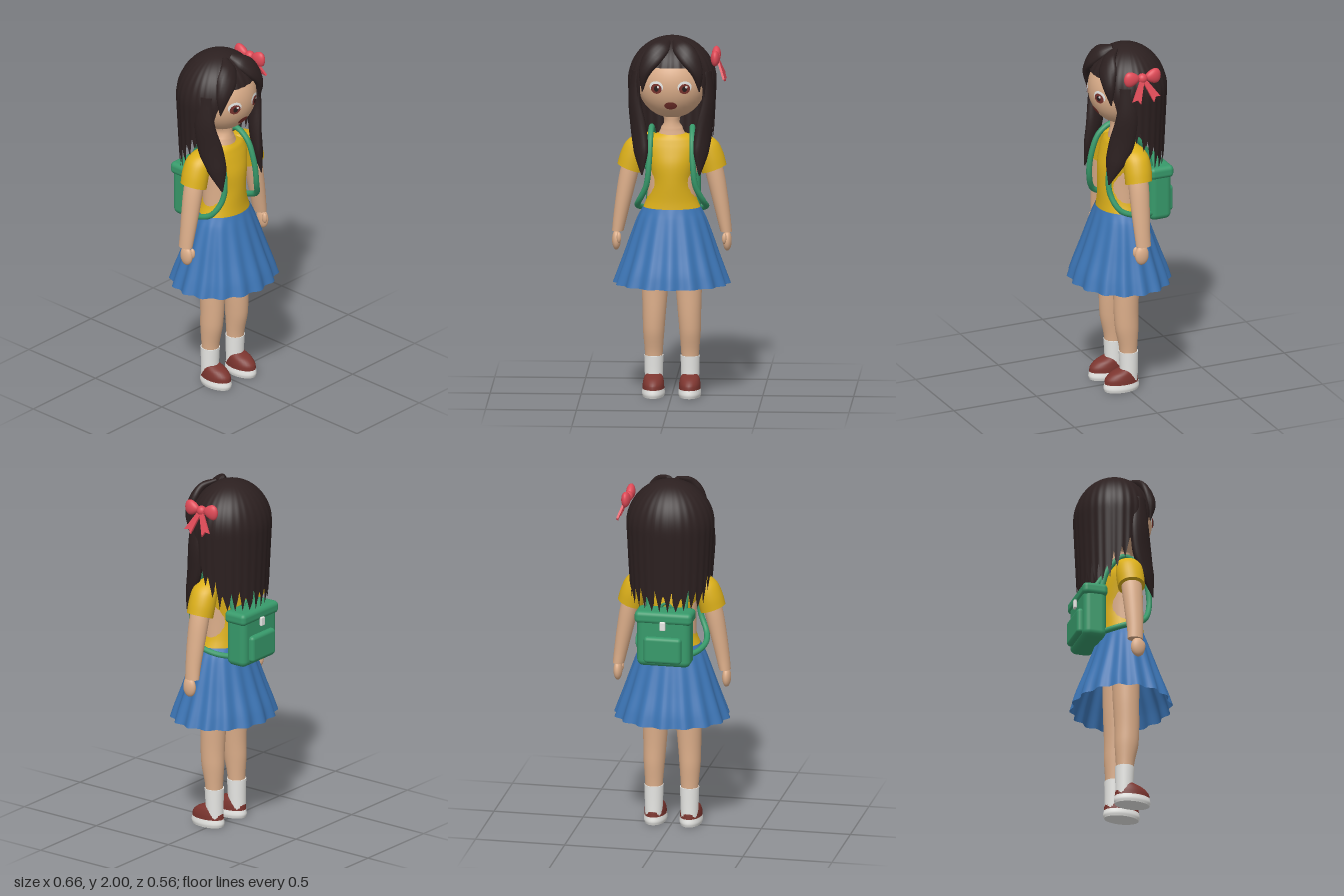
import * as THREE from 'three';
import { RoundedBoxGeometry } from 'three/addons/geometries/RoundedBoxGeometry.js';

const mat = (name, color, side = THREE.FrontSide) => {
  const m = new THREE.MeshStandardMaterial({ color, side });
  m.name = name;
  return m;
};
const V = (x, y, z) => new THREE.Vector3(x, y, z);

// Surface through rings of points (bottom to top), optionally capped
function skinRings(rings, capped = true) {
  const n = rings[0].length;
  const pos = [], idx = [];
  const strip = (list) => {
    const base = pos.length / 3;
    list.forEach((r) => r.forEach((p) => pos.push(p.x, p.y, p.z)));
    for (let i = 0; i < list.length - 1; i++) for (let j = 0; j < n; j++) {
      const a = base + i * n + j, b = base + i * n + (j + 1) % n;
      idx.push(a, a + n, b, b, a + n, b + n);
    }
  };
  strip(rings);
  if (capped) {
    const centre = (r) => {
      const c = r.reduce((s, p) => s.add(p), V(0, 0, 0)).divideScalar(n);
      return r.map(() => c);
    };
    const last = rings[rings.length - 1];
    strip([centre(rings[0]), rings[0]]);
    strip([last, centre(last)]);
  }
  const g = new THREE.BufferGeometry();
  g.setAttribute('position', new THREE.Float32BufferAttribute(pos, 3));
  g.setIndex(idx);
  g.computeVertexNormals();
  return g;
}

// Smooth stack of ellipses: each row is [x, y, z, rx, rz, tilt]
function loft(rows, side = 1, capped = true, wave = () => 0, seg = 32) {
  const curve = new THREE.CatmullRomCurve3(rows.map((r) => V(r[0] * side, r[1], r[2])));
  const size = new THREE.CatmullRomCurve3(rows.map((r) => V(r[3], r[4], (r[5] || 0) * side)));
  const steps = (rows.length - 1) * 4;
  const rings = [];
  for (let i = 0; i <= steps; i++) {
    const c = curve.getPoint(i / steps), s = size.getPoint(i / steps);
    rings.push(Array.from({ length: seg }, (_, j) => {
      const a = j / seg * Math.PI * 2, w = wave(a, i / steps);
      return V(c.x + (s.x + w) * Math.cos(a), c.y + s.z * Math.cos(a), c.z + (s.y + w) * Math.sin(a));
    }));
  }
  return skinRings(rings, capped);
}

// Tapered hair lock lying on the head: each row is [x, y, z, half width, half thickness]
function lock(rows, side) {
  const curve = new THREE.CatmullRomCurve3(rows.map((r) => V(r[0] * side, r[1], r[2])));
  const size = new THREE.CatmullRomCurve3(rows.map((r) => V(r[3], r[4], 0)));
  const rings = [];
  for (let i = 0; i <= 24; i++) {
    const p = curve.getPoint(i / 24), s = size.getPoint(i / 24), t = curve.getTangent(i / 24);
    const e1 = t.clone().cross(V(p.x, 0, p.z + 0.045)).normalize();
    const e2 = e1.clone().cross(t).normalize();
    rings.push(Array.from({ length: 14 }, (_, j) => {
      const a = j / 14 * Math.PI * 2;
      return p.clone().addScaledVector(e1, s.x * Math.cos(a)).addScaledVector(e2, s.y * Math.sin(a));
    }));
  }
  return skinRings(rings);
}

// Hair shell: hem height by angle from the front, with pointed strands
function hairShell() {
  const table = [[0, 1.85], [30, 1.85], [46, 1.73], [58, 1.55], [75, 1.5], [95, 1.42], [115, 1.31], [180, 1.29]];
  const hem = (d) => {
    const k = Math.max(1, table.findIndex((t) => t[0] >= d));
    const [d0, y0] = table[k - 1], [d1, y1] = table[k];
    const tooth = Math.abs((d / 12) % 1 * 2 - 1);
    const strand = d > 62 ? tooth * (0.1 + 0.03 * Math.sin(Math.floor(d / 12) * 2.3)) : 0;
    return y0 + (y1 - y0) * (d - d0) / (d1 - d0) + strand;
  };
  const rings = [], cols = 180, rows = 36;
  for (let i = 0; i <= rows; i++) {
    const s = 1 - i / rows;
    rings.push(Array.from({ length: cols }, (_, j) => {
      const a = j / cols * Math.PI * 2, d = 180 - Math.abs(180 - j * 360 / cols);
      const y = 2 - (2 - hem(d)) * s * s;
      const h = (y - 1.75) / 0.25;
      let r = h > 0 ? Math.sqrt(Math.max(0, 1 - h * h)) : 1 + 0.055 * h;
      r *= 1 + 0.01 * s * Math.cos(d * Math.PI / 6);
      // Ring runs from the front (+z) toward -x
      return V(-0.243 * r * Math.sin(a), y, -0.045 + 0.218 * r * Math.cos(a));
    }));
  }
  return skinRings(rings, false);
}

// Thin disc wrapped on the face
function faceDisc(x, y, rx, ry, lift) {
  const g = new THREE.RingGeometry(0, 1, 28, 4);
  const p = g.attributes.position;
  for (let i = 0; i < p.count; i++) {
    const px = x + p.getX(i) * rx, py = y + p.getY(i) * ry;
    const q = 1 - (px / 0.19) ** 2 - ((py - 1.75) / 0.2) ** 2;
    p.setXYZ(i, px, py, -0.005 + 0.175 * Math.sqrt(Math.max(0, q)) + lift);
  }
  g.computeVertexNormals();
  return g;
}

export function createModel() {
  const model = new THREE.Group();
  model.name = 'girlWithBackpack';
  const D = THREE.DoubleSide;
  const skin = mat('skin', 0xdcae8a), hair = mat('dark hair', 0x2c2020, D), yellow = mat('yellow shirt', 0xdcb01a, D);
  const blue = mat('blue skirt', 0x3b74b4, D), green = mat('green backpack', 0x37996a), red = mat('red bow', 0xdf4a57);
  const maroon = mat('maroon', 0x7c352f), white = mat('white', 0xe9e9e6);

  const add = (name, geo, material, parent = model) => {
    const m = new THREE.Mesh(geo, material);
    m.name = name;
    parent.add(m);
    return m;
  };
  const ball = (name, material, x, y, z, rx, ry, rz, parent) => {
    const m = add(name, new THREE.SphereGeometry(1, 36, 24), material, parent);
    m.position.set(x, y, z);
    m.scale.set(rx, ry, rz);
    return m;
  };

  // Torso and clothes
  add('body', loft([[0, 1.0, 0, 0.14, 0.1], [0, 1.1, 0, 0.136, 0.103], [0, 1.2, 0, 0.135, 0.105], [0, 1.3, 0, 0.138, 0.1],
    [0, 1.4, 0, 0.11, 0.07], [0, 1.46, 0, 0.075, 0.06], [0, 1.5, 0, 0.058, 0.055], [0, 1.6, 0, 0.058, 0.055]]), skin);
  add('shirt', loft([[0, 1.03, 0, 0.168, 0.124], [0, 1.1, 0, 0.138, 0.12], [0, 1.2, 0, 0.118, 0.122], [0, 1.3, 0, 0.137, 0.118],
    [0, 1.39, -0.005, 0.155, 0.098], [0, 1.44, -0.005, 0.13, 0.08], [0, 1.465, -0.005, 0.075, 0.062]], 1, false), yellow);
  add('skirt', loft([[0, 0.63, 0, 0.314, 0.27], [0, 0.7, 0, 0.29, 0.25], [0, 0.8, 0, 0.255, 0.213], [0, 0.9, 0, 0.222, 0.178],
    [0, 1.0, 0, 0.186, 0.144], [0, 1.055, 0, 0.158, 0.125]], 1, false, (a, t) => 0.011 * (1 - t) * Math.cos(16 * a), 160), blue);

  // Head and face
  ball('head', skin, 0, 1.75, -0.005, 0.19, 0.2, 0.175);
  add('mouth', faceDisc(0, 1.64, 0.035, 0.022, 0.004), maroon);
  for (const s of [1, -1]) {
    add('eyeWhite', faceDisc(s * 0.078, 1.747, 0.038, 0.032, 0.003), white);
    add('iris', faceDisc(s * 0.078, 1.737, 0.03, 0.028, 0.005), maroon);
    add('pupil', faceDisc(s * 0.078, 1.737, 0.013, 0.016, 0.007), hair);
    add('eyeGlint', faceDisc(s * 0.078 + 0.01, 1.748, 0.007, 0.007, 0.009), white);
  }

  // Hair
  add('hairShell', hairShell(), hair);
  for (const s of [1, -1]) {
    add('bangs', lock([[0.02, 1.985, 0.03, 0.02, 0.012], [0.055, 1.955, 0.085, 0.05, 0.024], [0.1, 1.905, 0.115, 0.058, 0.028],
      [0.145, 1.82, 0.127, 0.036, 0.024], [0.157, 1.715, 0.12, 0.003, 0.003]], s), hair);
    add('sideLock', lock([[0.195, 1.82, 0.045, 0.04, 0.02], [0.203, 1.65, 0.045, 0.06, 0.028], [0.18, 1.5, 0.065, 0.07, 0.033],
      [0.165, 1.38, 0.1, 0.055, 0.028], [0.158, 1.25, 0.135, 0.004, 0.003]], s), hair);
  }

  // Arms and legs
  for (const s of [1, -1]) {
    add('sleeve', loft([[0.232, 1.265, -0.012, 0.068, 0.075, 0.025], [0.215, 1.33, -0.014, 0.069, 0.077, 0.018],
      [0.188, 1.4, -0.014, 0.068, 0.072, 0.008], [0.155, 1.44, -0.012, 0.065, 0.055, 0], [0.125, 1.462, -0.01, 0.03, 0.025, 0]], s), yellow);
    add('arm', loft([[0.298, 0.915, -0.01, 0.032, 0.043], [0.287, 0.98, -0.008, 0.037, 0.045], [0.265, 1.1, -0.008, 0.045, 0.052],
      [0.234, 1.25, -0.01, 0.052, 0.057], [0.205, 1.36, -0.01, 0.05, 0.055]], s), skin);
    ball('hand', skin, s * 0.305, 0.865, 0.003, 0.024, 0.056, 0.04);
    ball('thumb', skin, s * 0.29, 0.882, 0.034, 0.013, 0.03, 0.016);

    add('leg', loft([[0.1, 0.17, -0.01, 0.046, 0.046], [0.1, 0.25, -0.008, 0.05, 0.051], [0.1, 0.36, 0, 0.059, 0.066],
      [0.097, 0.46, 0.003, 0.064, 0.069], [0.092, 0.63, 0, 0.073, 0.073], [0.08, 0.9, 0, 0.078, 0.08]], s), skin);
    add('sock', loft([[0.1, 0.05, -0.012, 0.048, 0.05], [0.1, 0.12, -0.012, 0.05, 0.05], [0.1, 0.222, -0.01, 0.053, 0.054]], s), white);
    add('sole', loft([[0.1, 0, 0.033, 0.058, 0.098], [0.1, 0.02, 0.033, 0.063, 0.104], [0.1, 0.045, 0.033, 0.06, 0.1]], s), white);
    add('shoe', loft([[0.1, 0.04, 0.033, 0.06, 0.1], [0.1, 0.07, 0.032, 0.059, 0.096], [0.1, 0.1, 0.022, 0.053, 0.075],
      [0.1, 0.122, 0.002, 0.04, 0.045]], s), maroon);
  }

  // Backpack
  const pack = new THREE.Group();
  pack.name = 'backpack';
  model.add(pack);
  const box = (name, w, h, d, r, y, z, m) => add(name, new RoundedBoxGeometry(w, h, d, 4, r), m, pack).position.set(0, y, z);
  box('packBody', 0.3, 0.29, 0.13, 0.035, 1.125, -0.19, green);
  box('packFlap', 0.322, 0.07, 0.142, 0.025, 1.262, -0.192, green);
  box('packPocket', 0.21, 0.15, 0.05, 0.02, 1.082, -0.258, green);
  box('packClasp', 0.032, 0.05, 0.016, 0.005, 1.222, -0.266, white);
  const handle = add('packHandle', new THREE.TorusGeometry(0.03, 0.008, 8, 20, Math.PI), green, pack);
  handle.position.set(0, 1.29, -0.16);
  for (const s of [1, -1]) {
    const path = [[0.1, 1.27, -0.15], [0.105, 1.41, -0.105], [0.112, 1.495, -0.02], [0.115, 1.45, 0.065], [0.12, 1.32, 0.115],
      [0.135, 1.19, 0.118], [0.178, 1.095, 0.075], [0.19, 1.06, 0], [0.165, 1.035, -0.08], [0.11, 1.02, -0.15]];
    const curve = new THREE.CatmullRomCurve3(path.map((p) => V(p[0] * s, p[1], p[2])));
    add('shoulderStrap', new THREE.TubeGeometry(curve, 60, 0.016, 10), green, pack);
  }

  // Bow on the left side of the hair
  const bow = new THREE.Group();
  bow.name = 'hairBow';
  bow.position.set(0.24, 1.885, -0.03);
  bow.rotation.y = Math.PI / 2;
  model.add(bow);
  ball('bowKnot', red, 0, 0, 0, 0.028, 0.028, 0.026, bow);
  const tail = new THREE.Shape([[-0.01, 0], [0.01, 0], [0.03, -0.14], [0.006, -0.125], [-0.02, -0.145]].map((p) => new THREE.Vector2(...p)));
  for (const s of [1, -1]) {
    // Loops widen away from the knot
    const g = new THREE.SphereGeometry(1, 28, 20);
    const p = g.attributes.position;
    for (let i = 0; i < p.count; i++) {
      const x = p.getX(i);
      p.setXYZ(i, s * (0.064 + 0.046 * x), p.getY(i) * (0.041 + 0.014 * x) + 0.004, p.getZ(i) * 0.025);
    }
    if (s < 0) g.index.array.reverse();
    g.computeVertexNormals();
    add('bowLoop', g, red, bow);
    const t = add('bowTail', new THREE.ExtrudeGeometry(tail, { depth: 0.012, bevelEnabled: false }), red, bow);
    t.rotation.set(-0.35, 0, s * 0.45);
  }
  return model;
}
